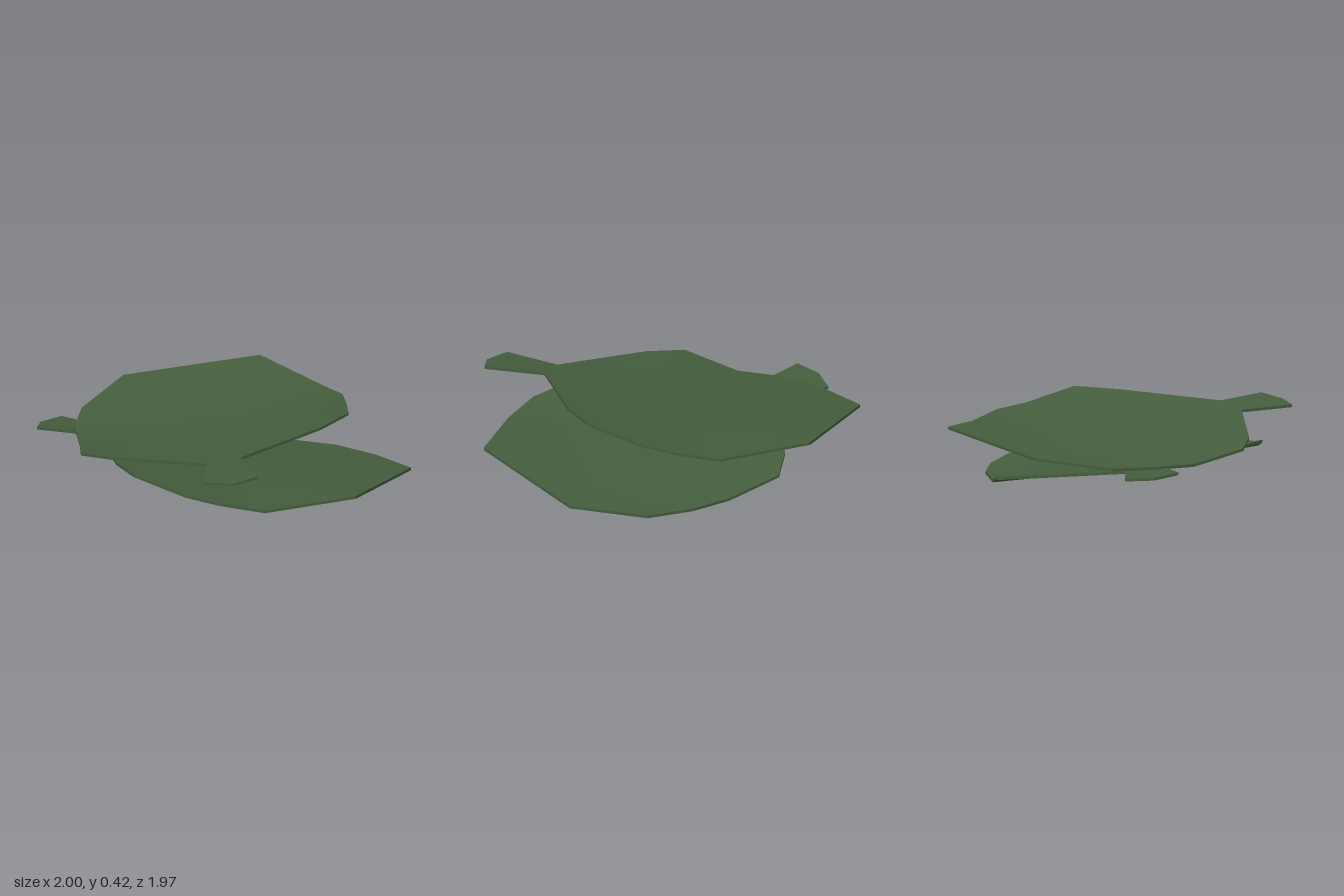
import * as THREE from 'three';
import { mergeGeometries } from 'three/addons/utils/BufferGeometryUtils.js';

// Blade rim, counter-clockwise from the stem: x, y, z of the upper face
const RIM = [
  [0.28, 0.375, 0.62], [0.60, 0.41, 0.17], [0.70, 0.425, -0.05], [0.615, 0.362, -0.35],
  [0.55, 0.345, -0.53], [0.40, 0.312, -0.72], [-0.01, 0.353, -0.99], [-0.69, 0.27, -0.74],
  [-0.82, 0.213, -0.35], [-0.795, 0.207, -0.09], [-0.71, 0.199, 0.14], [-0.63, 0.257, 0.44],
  [-0.43, 0.285, 0.54], [0.11, 0.347, 0.68],
];
const CENTRE = [-0.05, 0.262, -0.02];

// Flared end of the stem, joined to the last and first rim points
const STEM = [[0.17, 0.352, 0.98], [0.33, 0.362, 0.98], [0.44, 0.382, 0.90]];
const THICKNESS = 0.015;

function indexed(points, index) {
  const geometry = new THREE.BufferGeometry();
  geometry.setAttribute('position', new THREE.Float32BufferAttribute(points.flat(), 3));
  geometry.setIndex(index);
  geometry.computeVertexNormals();
  return geometry;
}

function leafGeometry() {
  const n = RIM.length;
  const lower = ([x, y, z]) => [x, y - THICKNESS, z];

  // Upper face: blade as a fan round the sunken centre, stem as a fan from its base
  const face = [];
  for (let i = 0; i < n; i++) face.push(n, i, (i + 1) % n);
  const stem = [n + 1, n + 2, n + 3, 0];
  for (let i = 0; i < 3; i++) face.push(n - 1, stem[i], stem[i + 1]);
  const points = [...RIM, CENTRE, ...STEM];
  const top = indexed(points, face);

  // Under face: the same, turned over
  const bottom = indexed(points.map(lower), [...face].reverse());

  // Thin edge all round, with sharp corners
  const outline = [...RIM, ...STEM];
  const edge = [];
  const edgeIndex = [];
  outline.forEach((a, i) => {
    const b = outline[(i + 1) % outline.length];
    const k = edge.length;
    edge.push(a, b, lower(a), lower(b));
    edgeIndex.push(k, k + 2, k + 1, k + 1, k + 2, k + 3);
  });
  return mergeGeometries([top, bottom, indexed(edge, edgeIndex)]);
}

export function createModel() {
  const group = new THREE.Group();
  group.name = 'leafPair';
  const green = new THREE.MeshStandardMaterial({ color: 0x455d3d });
  const geometry = leafGeometry();

  const upperLeaf = new THREE.Mesh(geometry, green);
  upperLeaf.name = 'upperLeaf';

  // Same leaf, a third of a turn round and lower
  const lowerLeaf = new THREE.Mesh(geometry, green);
  lowerLeaf.name = 'lowerLeaf';
  lowerLeaf.rotation.y = -Math.PI * 2 / 3;
  lowerLeaf.position.set(0.015, -0.18, 0.03);

  group.add(upperLeaf, lowerLeaf);
  return group;
}
